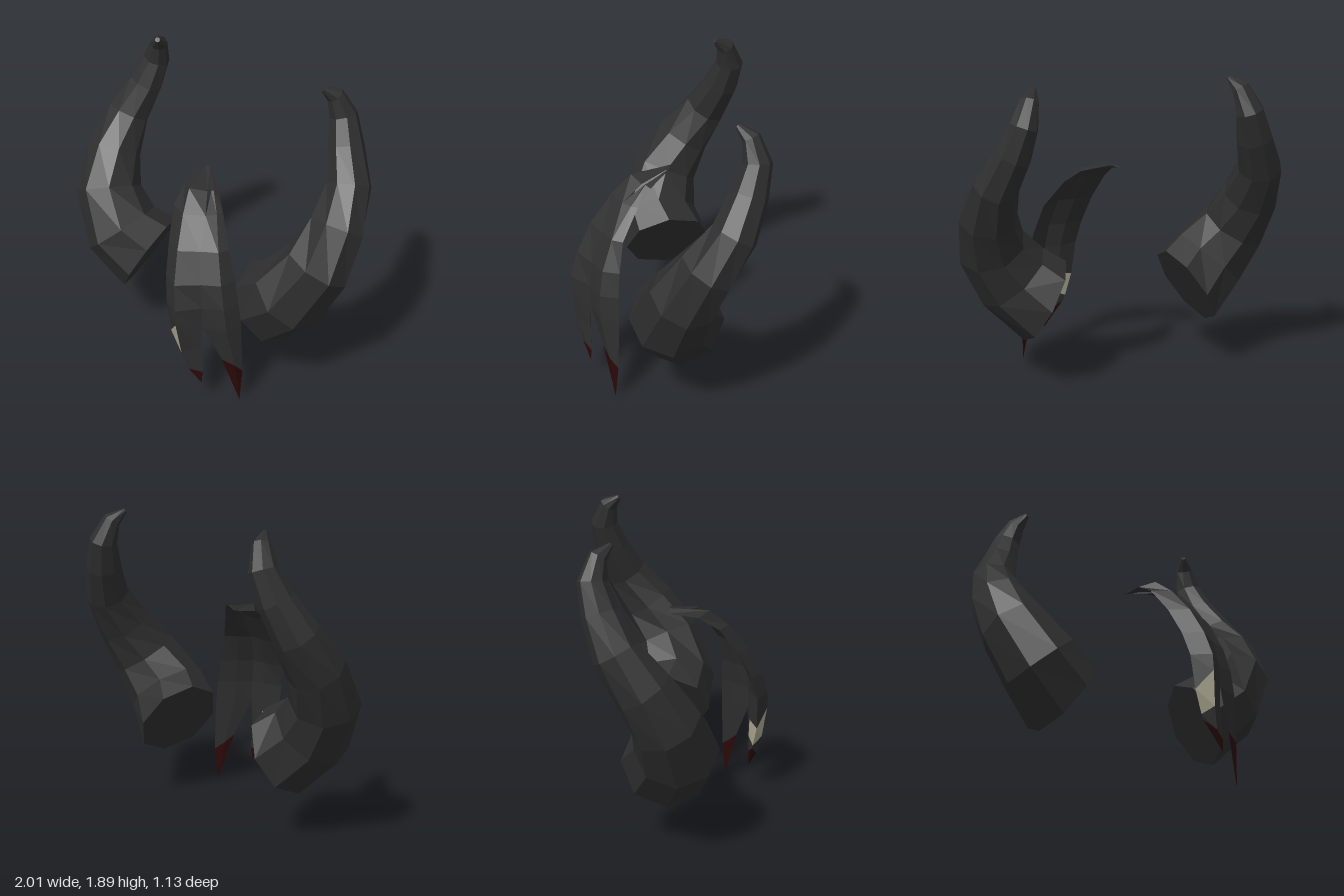
import * as THREE from 'three';

const dark = new THREE.MeshStandardMaterial({ color: 0x2e2e2e });
dark.name = 'charcoal';
const cream = new THREE.MeshStandardMaterial({ color: 0xaaa690 });
cream.name = 'cream';
const red = new THREE.MeshStandardMaterial({ color: 0x2c0808 });
red.name = 'dark red';

const V = (p) => new THREE.Vector3(...p);

// Skin a list of rings (counter-clockwise seen from outside the first ring) with flat facets,
// one mesh per colour; pick(row, column) chooses the colour of a panel.
function loft(name, rings, pick = () => dark) {
  const buckets = new Map();
  const tri = (m, a, b, c) => {
    const area = b.clone().sub(a).cross(c.clone().sub(a)).length();
    if (area < 1e-7) return;
    if (!buckets.has(m)) buckets.set(m, []);
    buckets.get(m).push(a, b, c);
  };
  const n = rings[0].length;
  const last = rings.length - 1;
  for (let i = 0; i < last; i++) {
    for (let j = 0; j < n; j++) {
      const k = (j + 1) % n;
      const m = pick(i, j);
      tri(m, rings[i][j], rings[i + 1][j], rings[i + 1][k]);
      tri(m, rings[i][j], rings[i + 1][k], rings[i][k]);
    }
  }
  // end caps
  for (let j = 1; j < n - 1; j++) {
    tri(pick(0, 0), rings[0][0], rings[0][j], rings[0][j + 1]);
    tri(pick(last - 1, 0), rings[last][0], rings[last][j + 1], rings[last][j]);
  }
  const group = new THREE.Group();
  group.name = name;
  for (const [m, points] of buckets) {
    const geo = new THREE.BufferGeometry().setFromPoints(points);
    geo.computeVertexNormals();
    const mesh = new THREE.Mesh(geo, m);
    mesh.name = `${name} ${m.name}`;
    group.add(mesh);
  }
  return group;
}

// Horn centre line from base to tip: x, y, z, radius
const hornPath = [
  [0.46, 0.525, -0.07, 0.275],
  [0.64, 0.68, -0.01, 0.25],
  [0.785, 0.90, -0.07, 0.21],
  [0.83, 1.12, -0.20, 0.175],
  [0.815, 1.33, -0.345, 0.137],
  [0.735, 1.53, -0.43, 0.11],
  [0.68, 1.70, -0.475, 0.085],
  [0.635, 1.83, -0.44, 0.055],
  [0.592, 1.885, -0.37, 0.016],
];

function horn(name, side) {
  const centres = hornPath.map(([x, y, z]) => new THREE.Vector3(x * side, y, z));
  const rings = centres.map((c, i) => {
    const t = i === 0
      ? new THREE.Vector3(0.86 * side, 0.49, 0.14).normalize()
      : centres[Math.min(i + 1, centres.length - 1)].clone().sub(centres[i - 1]).normalize();
    const u = new THREE.Vector3(0, 0, 1).addScaledVector(t, -t.z).normalize();
    const v = t.clone().cross(u);
    return Array.from({ length: 8 }, (_, j) => {
      const a = (j / 8) * Math.PI * 2;
      return c.clone()
        .addScaledVector(u, Math.cos(a) * hornPath[i][3])
        .addScaledVector(v, Math.sin(a) * hornPath[i][3]);
    });
  });
  return loft(name, rings.reverse());
}

// Lock rows from root to tip: left edge, front ridge, right edge
const shortRows = [
  [[-0.04, 1.31, -0.06], [-0.01, 1.335, -0.05], [0.03, 1.335, -0.045]],
  [[-0.04, 1.28, 0.12], [0.04, 1.305, 0.19], [0.13, 1.285, 0.13]],
  [[-0.03, 1.2, 0.25], [0.08, 1.2, 0.31], [0.2, 1.2, 0.25]],
  [[0.02, 1.03, 0.37], [0.13, 1.03, 0.44], [0.245, 1.03, 0.37]],
  [[0.06, 0.85, 0.46], [0.17, 0.85, 0.53], [0.29, 0.85, 0.44]],
  [[0.09, 0.7, 0.5], [0.2, 0.7, 0.57], [0.315, 0.7, 0.455]],
  [[0.12, 0.49, 0.5], [0.205, 0.6, 0.57], [0.32, 0.56, 0.455]],
  [[0.17, 0.35, 0.48], [0.225, 0.39, 0.54], [0.312, 0.42, 0.46]],
  [[0.185, 0.32, 0.475], [0.255, 0.26, 0.51], [0.325, 0.23, 0.46]],
  [[0.32, 0.15, 0.465], [0.32, 0.15, 0.465], [0.32, 0.15, 0.465]],
];
const longRows = [
  [[0.02, 1.325, -0.05], [0.03, 1.337, -0.05], [0.04, 1.33, -0.04]],
  [[0.15, 1.285, 0.12], [0.16, 1.295, 0.11], [0.18, 1.28, 0.08]],
  [[0.2, 1.2, 0.25], [0.245, 1.2, 0.2], [0.262, 1.2, 0.16]],
  [[0.24, 1.03, 0.37], [0.34, 1.03, 0.32], [0.37, 1.03, 0.255]],
  [[0.285, 0.85, 0.44], [0.4, 0.85, 0.38], [0.43, 0.85, 0.28]],
  [[0.31, 0.7, 0.455], [0.435, 0.7, 0.4], [0.465, 0.7, 0.29]],
  [[0.32, 0.56, 0.455], [0.455, 0.55, 0.4], [0.487, 0.55, 0.29]],
  [[0.415, 0.32, 0.385], [0.49, 0.28, 0.35], [0.51, 0.22, 0.3]],
  [[0.505, 0.005, 0.32], [0.505, 0.005, 0.32], [0.505, 0.005, 0.32]],
];

function lock(name, rows, pick) {
  const rings = rows.map((row) => {
    const [l, f, r] = row.map(V);
    const mid = l.clone().lerp(r, 0.5);
    const back = mid.clone().lerp(f, -0.2);
    return [l, f, r, back];
  });
  return loft(name, rings, pick);
}

export function createModel() {
  const model = new THREE.Group();
  model.name = 'horns and hair lock';
  model.add(horn('left horn', 1), horn('right horn', -1));

  // Forelock split in two, with red tips and a pale patch on the short strand's outer edge
  const forelock = new THREE.Group();
  forelock.name = 'forelock';
  forelock.add(
    lock('short strand', shortRows, (i, j) => {
      if (i === 8) return red;
      return i === 6 && (j === 0 || j === 3) ? cream : dark;
    }),
    lock('long strand', longRows, (i) => (i === 7 ? red : dark)),
  );
  model.add(forelock);
  return model;
}
